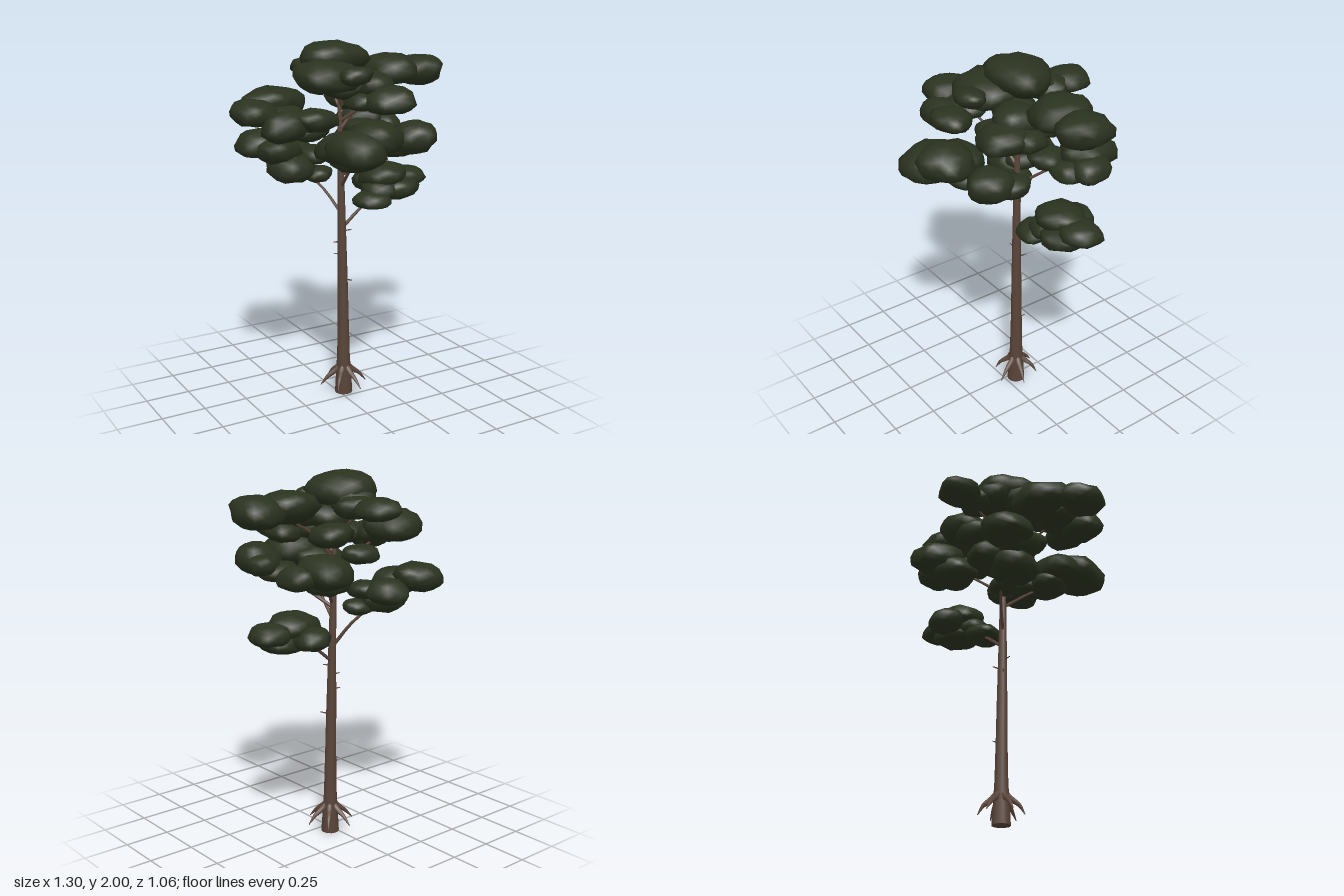
import * as THREE from 'three';
import { mergeVertices } from 'three/addons/utils/BufferGeometryUtils.js';

const V = (a) => new THREE.Vector3(...a);

// Small seeded generator for repeatable irregularity
function seeded(seed) {
  let s = seed * 7919 + 17;
  return () => {
    s = (s * 16807) % 2147483647;
    return s / 2147483647;
  };
}

// Tube along a smooth path, with its radius interpolated from a list
function taperedTube(points, radii, sides = 8, segments = 12) {
  const curve = new THREE.CatmullRomCurve3(points.map(V));
  const geo = new THREE.TubeGeometry(curve, segments, 1, sides, false);
  const pos = geo.attributes.position;
  const p = new THREE.Vector3();
  for (let i = 0; i <= segments; i++) {
    const c = curve.getPointAt(i / segments);
    const t = (i / segments) * (radii.length - 1);
    const k = Math.min(Math.floor(t), radii.length - 2);
    const r = THREE.MathUtils.lerp(radii[k], radii[k + 1], t - k);
    for (let j = 0; j <= sides; j++) {
      const n = i * (sides + 1) + j;
      p.fromBufferAttribute(pos, n).sub(c).multiplyScalar(r).add(c);
      pos.setXYZ(n, p.x, p.y, p.z);
    }
  }
  return geo;
}

// Flattened, irregular leaf cushion with a full body and an uneven rim
function cushion(seed, rx, ry, rz) {
  const rnd = seeded(seed);
  let geo = new THREE.IcosahedronGeometry(1, 2);
  geo.deleteAttribute('normal');
  geo.deleteAttribute('uv');
  geo = mergeVertices(geo, 1e-4);
  const pos = geo.attributes.position;
  const p = new THREE.Vector3();
  const phase = rnd() * 6.28, phase2 = rnd() * 6.28;
  for (let i = 0; i < pos.count; i++) {
    p.fromBufferAttribute(pos, i);
    const a = Math.atan2(p.z, p.x);
    const rim = 1 - Math.abs(p.y);
    const k = 0.99 + (rnd() - 0.5) * 0.12
      + rim * (0.06 * Math.sin(3 * a + phase) + 0.06 * Math.sin(5 * a + phase2));
    const tilt = 0.25 * Math.sin(a + phase2) * rim;
    const y = Math.sign(p.y) * Math.abs(p.y) ** 0.88;
    pos.setXYZ(i, p.x * k * rx, (y * k + tilt) * ry, p.z * k * rz);
  }
  geo.computeVertexNormals();
  return geo;
}

// Leaf groups: each cushion is x, y, z, rx, ry, rz
const CROWN = {
  topFoliage: [
    [-0.02, 1.905, -0.10, 0.185, 0.095, 0.17],
    [-0.12, 1.83, 0.02, 0.18, 0.09, 0.17],
    [-0.04, 1.845, 0.18, 0.095, 0.05, 0.08],
    [0.01, 1.82, -0.40, 0.11, 0.06, 0.125],
    [0.03, 1.82, -0.25, 0.11, 0.06, 0.10],
    [0.03, 1.76, -0.04, 0.12, 0.07, 0.12],
    [-0.02, 1.85, -0.18, 0.13, 0.07, 0.12],
  ],
  upperLeftFoliage: [
    [0.33, 1.83, -0.09, 0.15, 0.085, 0.16],
    [0.52, 1.815, -0.08, 0.13, 0.085, 0.15],
    [0.15, 1.77, 0.04, 0.12, 0.07, 0.12],
    [0.19, 1.70, 0.15, 0.14, 0.075, 0.13],
    [0.25, 1.69, 0.05, 0.10, 0.06, 0.10],
    [0.12, 1.68, -0.18, 0.12, 0.065, 0.11],
    [0.08, 1.69, 0.05, 0.09, 0.05, 0.10],
  ],
  upperRightFoliage: [
    [-0.36, 1.69, -0.13, 0.17, 0.09, 0.15],
    [-0.53, 1.675, 0.01, 0.12, 0.07, 0.13],
    [-0.41, 1.61, 0.12, 0.13, 0.08, 0.10],
    [-0.26, 1.635, 0.15, 0.12, 0.06, 0.11],
    [-0.36, 1.64, -0.01, 0.13, 0.06, 0.12],
    [-0.18, 1.54, -0.06, 0.11, 0.055, 0.10],
  ],
  frontFoliage: [
    [-0.02, 1.55, 0.34, 0.14, 0.095, 0.15],
    [-0.13, 1.51, 0.36, 0.15, 0.095, 0.16],
    [-0.12, 1.49, 0.21, 0.15, 0.085, 0.13],
    [-0.06, 1.41, 0.19, 0.12, 0.055, 0.12],
    [0.01, 1.40, 0.12, 0.07, 0.045, 0.08],
  ],
  frontLeftFoliage: [
    [0.26, 1.52, 0.27, 0.125, 0.09, 0.125],
    [0.20, 1.46, 0.17, 0.11, 0.055, 0.10],
    [0.30, 1.50, 0.17, 0.09, 0.06, 0.09],
  ],
  backLeftFoliage: [
    [0.28, 1.53, -0.32, 0.13, 0.09, 0.155],
    [0.40, 1.50, -0.25, 0.09, 0.065, 0.11],
    [0.22, 1.46, -0.25, 0.13, 0.07, 0.12],
    [0.18, 1.51, -0.14, 0.10, 0.055, 0.11],
    [0.31, 1.48, -0.18, 0.10, 0.055, 0.10],
  ],
  backRightFoliage: [
    [-0.33, 1.44, -0.35, 0.14, 0.08, 0.135],
    [-0.14, 1.38, -0.32, 0.11, 0.07, 0.11],
    [-0.22, 1.32, -0.20, 0.135, 0.08, 0.13],
    [-0.08, 1.28, -0.15, 0.08, 0.045, 0.08],
    [-0.28, 1.41, -0.23, 0.13, 0.075, 0.12],
    [-0.09, 1.38, -0.20, 0.09, 0.05, 0.10],
  ],
  lowFoliage: [
    [0.32, 1.235, -0.12, 0.14, 0.07, 0.13],
    [0.48, 1.21, -0.13, 0.11, 0.06, 0.11],
    [0.21, 1.12, -0.05, 0.11, 0.05, 0.10],
    [0.38, 1.16, -0.09, 0.14, 0.065, 0.13],
    [0.30, 1.18, -0.24, 0.10, 0.06, 0.10],
    [0.27, 1.17, -0.08, 0.10, 0.055, 0.10],
  ],
};

// Branches: paths from the trunk into each leaf group
const BRANCHES = [
  [[0.02, 0.98, -0.065], [0.20, 1.11, -0.08], [0.44, 1.19, -0.13]],
  [[0.02, 1.06, -0.065], [-0.07, 1.22, -0.16], [-0.32, 1.42, -0.33]],
  [[0.02, 1.22, -0.065], [-0.02, 1.35, 0.10], [-0.08, 1.50, 0.33]],
  [[0.02, 1.28, -0.065], [0.12, 1.38, 0.06], [0.25, 1.49, 0.25]],
  [[0.02, 1.30, -0.065], [0.13, 1.40, -0.16], [0.28, 1.51, -0.30]],
  [[0.02, 1.42, -0.065], [-0.14, 1.53, -0.05], [-0.48, 1.67, 0.00]],
  [[0.02, 1.54, -0.065], [0.15, 1.68, -0.06], [0.46, 1.82, -0.08]],
  [[0.02, 1.58, -0.065], [0.09, 1.65, 0.02], [0.18, 1.70, 0.14]],
  [[0.02, 1.62, -0.065], [0.02, 1.74, -0.20], [0.02, 1.82, -0.38]],
  [[0.02, 1.66, -0.065], [-0.04, 1.76, -0.02], [-0.10, 1.83, 0.08]],
];

// Dead stubs on the bare trunk: height, heading, length
const STUBS = [
  [0.965, 0.3, 0.05], [0.905, 3.1, 0.06], [0.85, -1.4, 0.06],
  [0.83, 3.7, 0.05], [0.685, 1.1, 0.065], [0.43, -1.5, 0.06],
];

export function createModel() {
  const bark = new THREE.MeshStandardMaterial({ color: 0x5a4539 });
  bark.name = 'bark';
  const needles = new THREE.MeshStandardMaterial({ color: 0x2a321f });
  needles.name = 'needles';

  const model = new THREE.Group();
  const add = (parent, geo, mat, name) => {
    const mesh = new THREE.Mesh(geo, mat);
    mesh.name = name;
    parent.add(mesh);
    return mesh;
  };
  const group = (name) => {
    const g = new THREE.Group();
    g.name = name;
    model.add(g);
    return g;
  };

  // Trunk
  const trunk = [[0.03, 0, -0.062], [0.028, 0.45, -0.064], [0.022, 0.9, -0.066], [0.016, 1.35, -0.07], [0.01, 1.85, -0.08]];
  add(model, taperedTube(trunk, [0.05, 0.036, 0.031, 0.028, 0.024, 0.02, 0.016, 0.012, 0.006], 12, 24), bark, 'trunk');
  const foot = add(model, new THREE.CircleGeometry(0.05, 12).rotateX(Math.PI / 2), bark, 'trunkFoot');
  foot.position.set(0.03, 0, -0.062);

  // Roots arching down around the foot
  const roots = group('roots');
  for (let i = 0; i < 6; i++) {
    const a = (i / 6) * Math.PI * 2 + 0.26;
    const reach = 0.13 + 0.01 * Math.sin(i * 2.3);
    const at = (r, y) => [0.03 + Math.cos(a) * r, y, -0.062 + Math.sin(a) * r];
    add(roots, taperedTube([at(0.02, 0.165), at(0.05, 0.135), at(0.09, 0.105), at(reach, 0.055)],
      [0.018, 0.016, 0.01, 0.002], 6, 8), bark, 'root');
  }

  // Branches
  const branches = group('branches');
  for (const path of BRANCHES) {
    add(branches, taperedTube(path, [0.01, 0.007, 0.004], 6, 10), bark, 'branch');
  }

  // Dead stubs
  const stubs = group('stubs');
  for (const [y, a, len] of STUBS) {
    const at = (r, h) => [0.025 + Math.cos(a) * r, h, -0.065 + Math.sin(a) * r];
    add(stubs, taperedTube([at(0.01, y), at(0.03, y), at(len, y + 0.002)], [0.005, 0.004, 0.002], 5, 4), bark, 'stub');
  }

  // Crown
  let seed = 1;
  for (const [name, list] of Object.entries(CROWN)) {
    const g = group(name);
    for (const [x, y, z, rx, ry, rz] of list) {
      add(g, cushion(seed++, rx, ry, rz), needles, 'leafCushion').position.set(x, y, z);
    }
  }
  return model;
}
